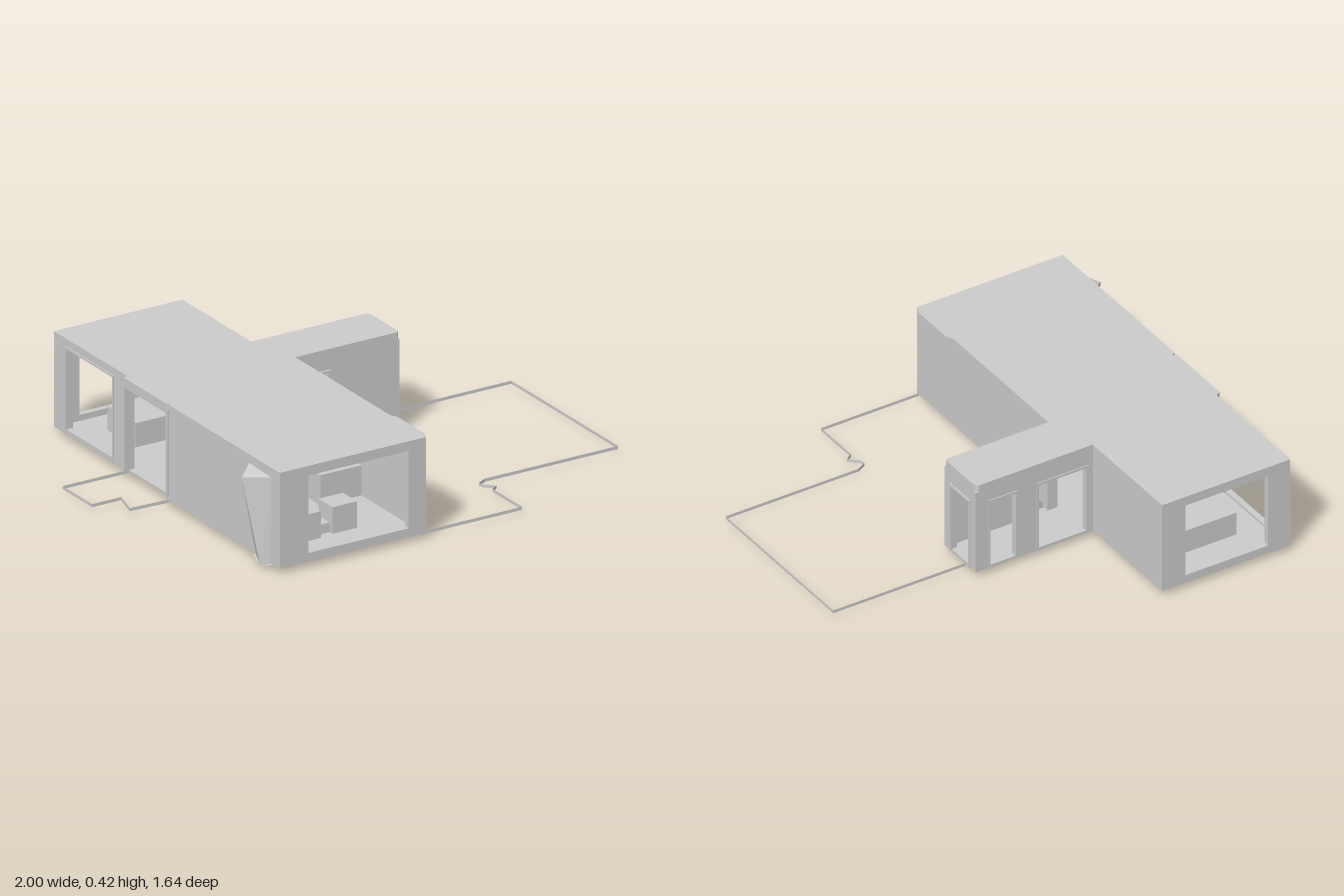
import * as THREE from 'three';
import { ConvexGeometry } from 'three/addons/geometries/ConvexGeometry.js';

const FLOOR = 0.03, CEILING = 0.39, TOP = 0.42, T = 0.025;

export function createModel() {
  const house = new THREE.Group();
  house.name = 'house';
  const grey = new THREE.MeshStandardMaterial({ color: 0xcccccc, flatShading: true });
  const thin = new THREE.MeshStandardMaterial({ color: 0xcccccc, flatShading: true, side: THREE.DoubleSide });

  function add(name, geometry, material = grey) {
    const mesh = new THREE.Mesh(geometry, material);
    mesh.name = name;
    house.add(mesh);
    return mesh;
  }

  // Box given by its limits on each axis
  function box(name, [x0, x1], [y0, y1], [z0, z1]) {
    const mesh = add(name, new THREE.BoxGeometry(x1 - x0, y1 - y0, z1 - z0));
    mesh.position.set((x0 + x1) / 2, (y0 + y1) / 2, (z0 + z1) / 2);
  }

  // Horizontal slab from a plan of [x, z] points
  function slab(name, plan, y0, y1) {
    const shape = new THREE.Shape(plan.map(([x, z]) => new THREE.Vector2(x, -z)));
    const g = new THREE.ExtrudeGeometry(shape, { depth: y1 - y0, bevelEnabled: false });
    g.rotateX(-Math.PI / 2).translate(0, y0, 0);
    add(name, g);
  }

  // Upright wall from a to b along 'x' or 'z', filling at..at+T, with holes [a0, a1, y0, y1]
  function wall(name, axis, a, b, at, holes = []) {
    const rect = (P, u0, u1, v0, v1) => new P([[u0, v0], [u1, v0], [u1, v1], [u0, v1]]
      .map(([u, v]) => new THREE.Vector2(u, v)));
    const s = axis === 'z' ? -1 : 1;
    const span = (p, q) => [Math.min(s * p, s * q), Math.max(s * p, s * q)];
    const shape = rect(THREE.Shape, ...span(a, b), FLOOR, CEILING);
    for (const [p, q, y0, y1] of holes) shape.holes.push(rect(THREE.Path, ...span(p, q), y0, y1));
    const g = new THREE.ExtrudeGeometry(shape, { depth: T, bevelEnabled: false });
    if (axis === 'z') g.rotateY(Math.PI / 2).translate(at, 0, 0);
    else g.translate(0, 0, at);
    add(name, g);
  }

  // Open vertical band along [x, z] points on the ground
  function band(name, path, y0 = 0.016, y1 = 0.029) {
    const pos = [], index = [];
    path.forEach(([x, z], i) => {
      pos.push(x, y0, z, x, y1, z);
      if (i) { const k = 2 * i; index.push(k - 2, k, k - 1, k - 1, k, k + 1); }
    });
    const g = new THREE.BufferGeometry();
    g.setAttribute('position', new THREE.Float32BufferAttribute(pos, 3));
    g.setIndex(index);
    g.computeVertexNormals();
    add(name, g, thin);
  }

  // Floor, plinth and roof with its small overhangs
  slab('floor', [[-0.73, 0.82], [-0.07, 0.82], [-0.07, -0.11], [0.4, -0.11], [0.4, -0.33],
    [-0.13, -0.33], [-0.13, -0.82], [-0.71, -0.82], [-0.71, 0.02], [-0.73, 0.02]], 0.025, 0.035);
  slab('plinth', [[-0.7, 0.8], [-0.09, 0.8], [-0.09, -0.13], [0.38, -0.13], [0.38, -0.31],
    [-0.15, -0.31], [-0.15, -0.79], [-0.69, -0.79], [-0.69, 0.03], [-0.7, 0.03]], 0.016, 0.025);
  slab('roof', [[-0.73, 0.82], [-0.07, 0.82], [-0.07, -0.11], [0.39, -0.11], [0.4, -0.12],
    [0.4, -0.31], [0.385, -0.33], [-0.13, -0.33], [-0.13, -0.82], [-0.71, -0.82], [-0.71, -0.3],
    [-0.73, -0.29], [-0.73, 0.01], [-0.715, 0.02], [-0.73, 0.03]], CEILING, TOP);
  slab('eaveStrip', [[-0.07, 0.81], [-0.055, 0.79], [-0.055, 0.59], [-0.07, 0.57]], TOP - 0.006, TOP);

  // Outer walls of the long block
  wall('frontWall', 'x', -0.73, -0.07, 0.82 - T, [[-0.6, -0.15, 0.06, 0.38]]);
  wall('backWall', 'x', -0.71, -0.13, -0.82, [[-0.61, -0.235, 0.06, 0.38]]);
  wall('livingRoomSideWall', 'z', -0.11, 0.82 - T, -0.07 - T);
  wall('bedroomSideWall', 'z', -0.82 + T, -0.33, -0.13 - T);
  wall('frontOuterWall', 'z', 0.03, 0.82 - T, -0.73);
  wall('rearOuterWall', 'z', -0.82 + T, 0.03, -0.71,
    [[-0.73, -0.4, 0.045, 0.38], [-0.285, 0.005, 0.036, 0.38]]);

  // Outer walls of the entrance wing
  wall('wingFrontWall', 'x', -0.095, 0.4, -0.11 - T, [[-0.05, 0.075, 0.036, 0.325]]);
  wall('wingBackWall', 'x', -0.155, 0.4, -0.33, [[-0.1, 0.115, 0.036, 0.325], [0.22, 0.335, 0.036, 0.325]]);
  wall('wingEndWall', 'z', -0.33 + T, -0.11 - T, 0.4 - T, [[-0.285, -0.16, 0.036, 0.325]]);

  // Frames standing proud of the openings: two posts and a head
  function frame(name, axis, a, b, [n0, n1], top, w = 0.01) {
    const part = (p, q, y) => (axis === 'x'
      ? box(name, [p, q], y, [n0, n1]) : box(name, [n0, n1], y, [p, q]));
    part(a - w, a, [FLOOR, top + w]);
    part(b, b + w, [FLOOR, top + w]);
    part(a, b, [top, top + w]);
  }
  frame('frontDoorFrame', 'x', -0.05, 0.075, [-0.13, -0.102], 0.325);
  frame('endDoorFrame', 'z', -0.285, -0.16, [0.385, 0.406], 0.325);
  frame('terraceDoorFrame', 'z', -0.285, 0.005, [-0.73, -0.69], 0.38, 0.015);
  frame('bedroomWindowFrame', 'z', -0.73, -0.4, [-0.715, -0.68], 0.38, 0.008);
  frame('wingBackDoorFrame', 'x', 0.22, 0.335, [-0.334, -0.31], 0.325);
  frame('wingBackWindowFrame', 'x', -0.1, 0.115, [-0.334, -0.31], 0.325);

  // Inner partition and fittings
  box('partition', [-0.24, -0.13], [FLOOR, CEILING], [-0.34, -0.32]);
  box('armchair', [-0.56, -0.45], [FLOOR, 0.145], [0.56, 0.67]);
  box('armchair', [-0.39, -0.28], [FLOOR, 0.145], [0.56, 0.66]);
  box('lowTable', [-0.44, -0.39], [FLOOR, 0.075], [0.58, 0.64]);
  box('kitchenIsland', [-0.53, -0.42], [FLOOR, 0.14], [0.14, 0.36]);
  box('extractorHood', [-0.51, -0.38], [0.295, CEILING], [0.18, 0.32]);
  box('counter', [-0.28, -0.095], [FLOOR, 0.16], [0.05, 0.4]);
  box('tallCupboard', [-0.2, -0.095], [0.16, CEILING], [-0.02, 0.05]);
  box('wallShelf', [-0.2, -0.095], [0.16, 0.265], [0.05, 0.15]);
  box('bed', [-0.57, -0.29], [FLOOR, 0.135], [-0.66, -0.46]);

  // Leaning wedge against the outer wall
  add('leaningWedge', new ConvexGeometry([
    [-0.8, 0.36, 0.66], [-0.728, 0.385, 0.6], [-0.728, 0.38, 0.76], [-0.755, 0.005, 0.72],
    [-0.72, 0, 0.69], [-0.72, 0.02, 0.63], [-0.72, 0.02, 0.76],
  ].map((p) => new THREE.Vector3(...p))));
  add('wedgeFoot', new ConvexGeometry([
    [-0.755, 0.005, 0.72], [-0.72, 0, 0.69], [-0.64, 0.016, 0.64], [-0.65, 0.016, 0.72],
    [-0.73, 0.018, 0.63], [-0.73, 0.018, 0.76],
  ].map((p) => new THREE.Vector3(...p))));

  // Terrace edges on both sides
  band('terraceEdge', [[0.4, -0.26], [1, -0.26], [1, 0.5], [0.4, 0.5], [0.36, 0.52],
    [0.36, 0.54], [0.4, 0.58], [0.37, 0.6], [0.37, 0.81], [-0.09, 0.81]]);
  band('sideTerraceEdge', [[-0.7, -0.3], [-1, -0.3], [-1, -0.09], [-0.87, -0.09],
    [-0.9, 0.02], [-0.7, 0.03]]);

  return house;
}
